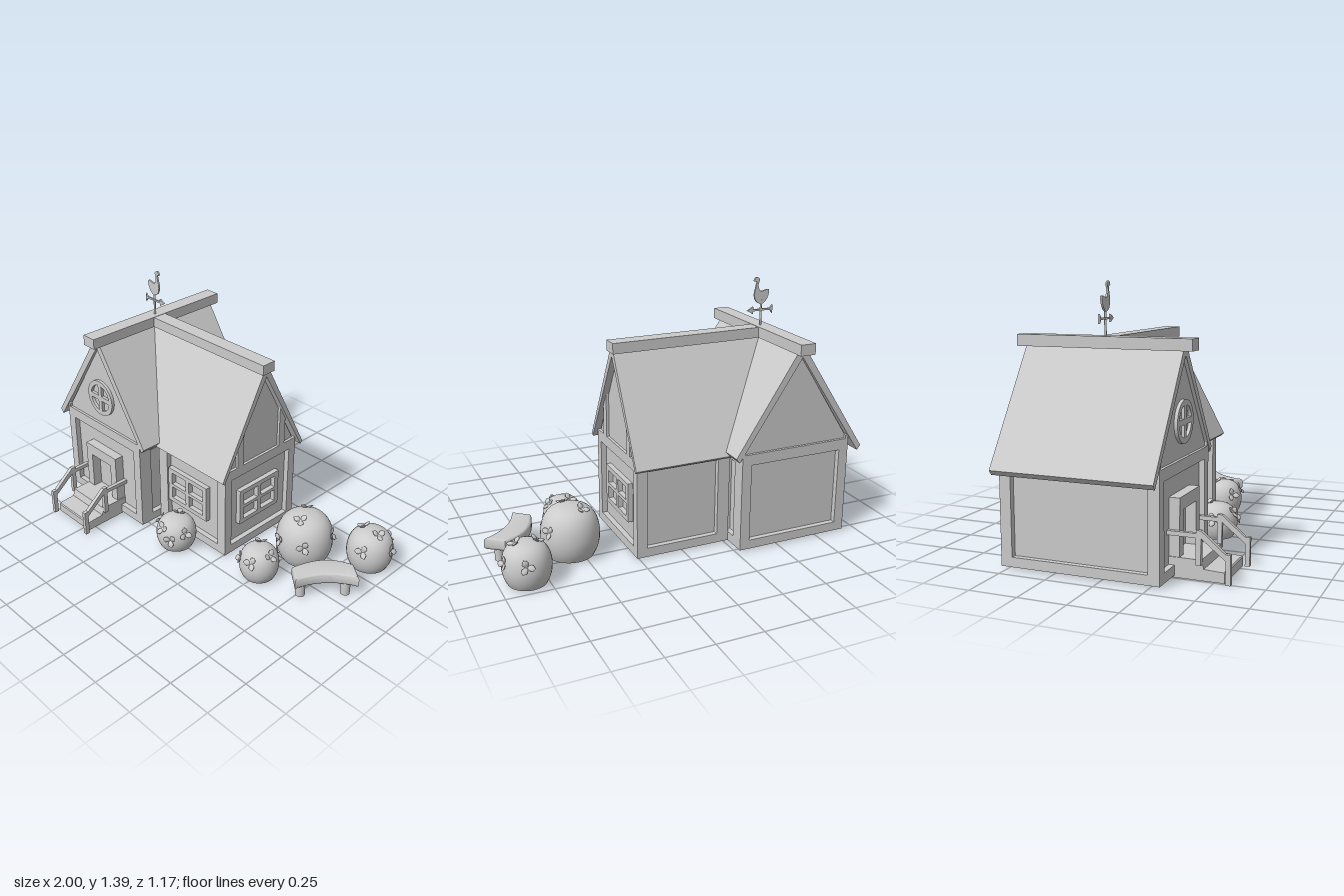
import * as THREE from 'three';
import { toCreasedNormals } from 'three/addons/utils/BufferGeometryUtils.js';

const mat = new THREE.MeshStandardMaterial({ color: 0xcccccc, side: THREE.DoubleSide });

function add(parent, name, geo, x = 0, y = 0, z = 0) {
  const m = new THREE.Mesh(geo, mat);
  m.name = name;
  m.position.set(x, y, z);
  parent.add(m);
  return m;
}
const group = (parent, name, x = 0, y = 0, z = 0, ry = 0) => {
  const g = new THREE.Group();
  g.name = name;
  g.position.set(x, y, z);
  g.rotation.y = ry;
  parent.add(g);
  return g;
};
const vecs = (pts) => pts.map(([x, y]) => new THREE.Vector2(x, y));
const rect = (x0, y0, x1, y1) => [[x0, y0], [x1, y0], [x1, y1], [x0, y1]];

// Extrude an outline with holes from z0 to z1
function slab(outline, holes, z0, z1) {
  const s = new THREE.Shape(vecs(outline));
  s.holes = holes.map((h) => new THREE.Path(vecs(h)));
  return new THREE.ExtrudeGeometry(s, { depth: z1 - z0, bevelEnabled: false }).translate(0, 0, z0);
}
const box = (x0, x1, y0, y1, z0, z1) =>
  new THREE.BoxGeometry(x1 - x0, y1 - y0, z1 - z0).translate((x0 + x1) / 2, (y0 + y1) / 2, (z0 + z1) / 2);

// One thin wall in its own local space: timber frame, reveal and recessed panel.
// The house is hollow and open below.
function wall(parent, name, x, z, ry, w, top, left, right = left) {
  const g = group(parent, name, x, 0, z, ry);
  const h = w / 2, a = -h + left, b = h - right, t = 0.004;
  const hole = rect(a, 0.06, b, 0.49), rim = rect(a - t, 0.06 - t, b + t, 0.49 + t);
  add(g, name + 'Frame', slab(rect(-h, 0.01, h, top), [hole], -0.018, 0));
  add(g, name + 'Reveal', slab(rim, [hole], -0.034, -0.001));
  add(g, name + 'Panel', slab(rim, [], -0.034, -0.03));
  return g;
}

function gable(parent, half, apex) {
  add(parent, 'gable', slab([[-half, 0.54], [half, 0.54], [0, apex]], [], -0.02, -0.015));
}

// Window with two by two panes
function paneWindow(parent, x) {
  const g = group(parent, 'window', x, 0.273, 0);
  const holes = [];
  for (const u of [-0.125, 0.013]) for (const v of [-0.083, 0.01]) holes.push(rect(u, v, u + 0.112, v + 0.073));
  add(g, 'windowFrame', slab(rect(-0.155, -0.11, 0.155, 0.11), holes, -0.032, -0.002));
}

function roundWindow(parent, y) {
  const holes = [];
  for (let q = 0; q < 4; q++) {
    const r = 0.08, c = 0.014, a = Math.asin(c / r), pts = [[c, c]];
    for (let i = 0; i <= 8; i++) {
      const t = a + (Math.PI / 2 - 2 * a) * i / 8;
      pts.push([r * Math.cos(t), r * Math.sin(t)]);
    }
    holes.push(pts.map(([px, py]) => {
      const t = q * Math.PI / 2;
      return [px * Math.cos(t) - py * Math.sin(t), px * Math.sin(t) + py * Math.cos(t)];
    }));
  }
  const ring = Array.from({ length: 40 }, (_, i) => [0.107 * Math.cos(i * Math.PI / 20), 0.107 * Math.sin(i * Math.PI / 20)]);
  add(parent, 'roundWindow', toCreasedNormals(slab(ring, holes, -0.018, 0.002), 0.5), -0.005, y, 0);
}

function buildHouse(root) {
  const house = group(root, 'house');
  const H = Math.PI / 2;

  // Main block walls; the right side has a short return on each side of the wing
  const front = wall(house, 'mainFront', -0.595, 0.3, 0, 0.65, 0.55, 0.055);
  const back = wall(house, 'mainBack', -0.595, -0.535, Math.PI, 0.65, 0.55, 0.055);
  wall(house, 'mainLeftSide', -0.92, -0.1175, -H, 0.835, 0.57, 0.06);
  wall(house, 'frontReturn', -0.27, 0.21, H, 0.18, 0.57, 0.08, 0.005);
  wall(house, 'backReturn', -0.27, -0.4475, H, 0.175, 0.57, 0.005, 0.08);
  gable(front, 0.33, 1.05);
  gable(back, 0.33, 1.05);
  roundWindow(front, 0.725);

  // Wing walls
  const wingFront = wall(house, 'wingFront', -0.0025, 0.158, 0, 0.535, 0.55, 0.068, 0.058);
  wall(house, 'wingBack', -0.0025, -0.398, Math.PI, 0.535, 0.55, 0.058, 0.068);
  const end = wall(house, 'wingEnd', 0.265, -0.12, H, 0.556, 0.55, 0.05);
  gable(end, 0.27, 1.05);
  for (const s of [-1, 1]) add(end, 'gablePost', slab(
    [[s * 0.14, 0.54], [s * 0.185, 0.54], [s * 0.185, 0.71], [s * 0.14, 0.8]], [], -0.018, 0));
  paneWindow(wingFront, -0.0375);
  paneWindow(end, -0.005);

  // Roofs and ridge beams
  add(house, 'mainRoof', slab([[-0.4, 0.5], [-0.38, 0.475], [0, 1.04], [0.35, 0.515], [0.37, 0.54], [0, 1.11]], [], -0.54, 0.303), -0.6);
  const wingRoof = add(house, 'wingRoof', slab(
    [[-0.318, 0.517], [-0.303, 0.503], [0, 1.04], [0.303, 0.503], [0.318, 0.517], [0, 1.11]], [], -0.58, 0.285), 0, 0, -0.12);
  wingRoof.rotation.y = H;
  add(house, 'mainRidge', box(-0.642, -0.555, 1.062, 1.121, -0.587, 0.352));
  add(house, 'wingRidge', box(-0.6, 0.295, 1.062, 1.119, -0.165, -0.08));

  // Door surround, set through the wall
  add(front, 'doorFrame', slab(rect(-0.14, 0.03, 0.13, 0.385), [rect(-0.09, 0.1, 0.08, 0.32)], -0.06, 0.025));

  // Steps and handrails, drawn in side profile with u = -z, running into the wall
  const stairs = group(house, 'stairs', -0.6, 0, 0, H);
  add(stairs, 'steps', slab([[-0.55, 0], [-0.24, 0], [-0.24, 0.1], [-0.435, 0.1], [-0.447, 0.057], [-0.545, 0.052], [-0.55, 0.045]], [], -0.14, 0.14));
  const rail = [[-0.585, 0], [-0.56, 0], [-0.56, 0.115], [-0.44, 0.21], [-0.44, 0.08], [-0.415, 0.08], [-0.415, 0.21],
    [-0.25, 0.21], [-0.25, 0.232], [-0.415, 0.232], [-0.415, 0.247], [-0.44, 0.247], [-0.56, 0.147], [-0.585, 0.147]];
  for (const s of [-1, 1]) add(stairs, 'handrail', slab(rail, [], -0.011, 0.011), 0, 0, s * 0.151);
}

// Bird and arrow on a pole
function buildVane(root) {
  const vane = group(root, 'weathervane', -0.59, 0, -0.12);
  add(vane, 'vanePole', new THREE.CylinderGeometry(0.006, 0.006, 0.16, 10), 0, 1.18, 0);
  const bird = [[0.048, 1.364], [0.034, 1.386], [0.014, 1.374], [0.022, 1.345], [0.008, 1.308], [-0.043, 1.314],
    [-0.034, 1.265], [0, 1.237], [0.034, 1.255], [0.045, 1.29], [0.036, 1.335], [0.032, 1.362]];
  const curve = new THREE.CatmullRomCurve3(bird.map(([x, y]) => new THREE.Vector3(x, y, 0)), true);
  add(vane, 'bird', slab(curve.getPoints(48).slice(0, -1).map((p) => [p.x, p.y]), [], -0.005, 0.005));
  add(vane, 'arrow', slab([[-0.07, 1.18], [-0.055, 1.2], [0.05, 1.2], [0.05, 1.185], [0.085, 1.205],
    [0.05, 1.225], [0.05, 1.21], [-0.055, 1.21], [-0.07, 1.228]], [], -0.005, 0.005));
}

// Round hollow bush with clusters of three petals; spots are [azimuth, elevation] in degrees
function buildBush(root, x, z, r, h, spots) {
  const g = group(root, 'bush', x, 0.005, z);
  const side = new THREE.SplineCurve(vecs([[0.79, 0], [0.93, 0.17], [1, 0.4], [0.94, 0.66], [0.74, 0.86], [0.4, 0.97], [0, 1]])).getPoints(20);
  const profile = side.map((p) => new THREE.Vector2(Math.max(0, p.x) * r, p.y * h));
  add(g, 'bushBody', new THREE.LatheGeometry(profile, 32));
  const petal = new THREE.LatheGeometry(vecs([[0, 0], [0.01, 0.008], [0.017, 0.022], [0.014, 0.032], [0, 0.044]]), 10).scale(1, 1, 0.35);
  for (const [az, el] of spots) {
    const a = az * Math.PI / 180, e = el * Math.PI / 180;
    const n = new THREE.Vector3(Math.cos(a) * Math.cos(e), Math.sin(e), Math.sin(a) * Math.cos(e));
    const c = group(g, 'flower', n.x * r, h * (0.4 + 0.6 * n.y), n.z * r);
    c.quaternion.setFromUnitVectors(new THREE.Vector3(0, 0, 1), n);
    for (let i = 0; i < 3; i++) {
      const p = add(c, 'petal', petal);
      p.rotation.set(0.35, 0, az + i * Math.PI * 2 / 3, 'ZXY');
    }
  }
}

// Curved bench on two round legs
function buildBench(root) {
  const bench = group(root, 'bench');
  const bevel = 0.016;
  // Plan is drawn with shape y = z, then laid flat
  const s = new THREE.Shape();
  s.moveTo(0.69, 0.085);
  s.quadraticCurveTo(0.733, -0.125, 0.905, -0.166);
  s.lineTo(0.998, -0.095);
  s.quadraticCurveTo(0.83, -0.02, 0.778, 0.158);
  s.closePath();
  const seat = new THREE.ExtrudeGeometry(s, {
    depth: 0.034, bevelThickness: bevel, bevelSize: bevel, bevelOffset: -bevel, bevelSegments: 4, curveSegments: 16 });
  add(bench, 'benchSeat', toCreasedNormals(seat.rotateX(Math.PI / 2), 0.7), 0, 0.126, 0);
  for (const [x, z] of [[0.76, 0.09], [0.918, -0.09]]) {
    add(bench, 'benchLeg', new THREE.CylinderGeometry(0.026, 0.026, 0.085, 16), x, 0.0425, z);
  }
}

export function createModel() {
  const root = new THREE.Group();
  root.name = 'cottage';
  buildHouse(root);
  buildVane(root);
  buildBush(root, -0.018, 0.262, 0.113, 0.187, [[95, 35], [15, 25], [170, 20], [250, 70], [60, 10]]);
  buildBush(root, 0.496, 0.127, 0.109, 0.19, [[0, 45], [130, 20], [230, 65], [75, 30], [300, 20]]);
  buildBush(root, 0.555, -0.175, 0.158, 0.283, [[230, 62], [75, 66], [110, 12], [52, 15], [335, 20]]);
  buildBush(root, 0.853, -0.377, 0.128, 0.228, [[285, 20], [350, 18], [180, 65], [10, 65], [75, 25]]);
  buildBench(root);
  return root;
}
